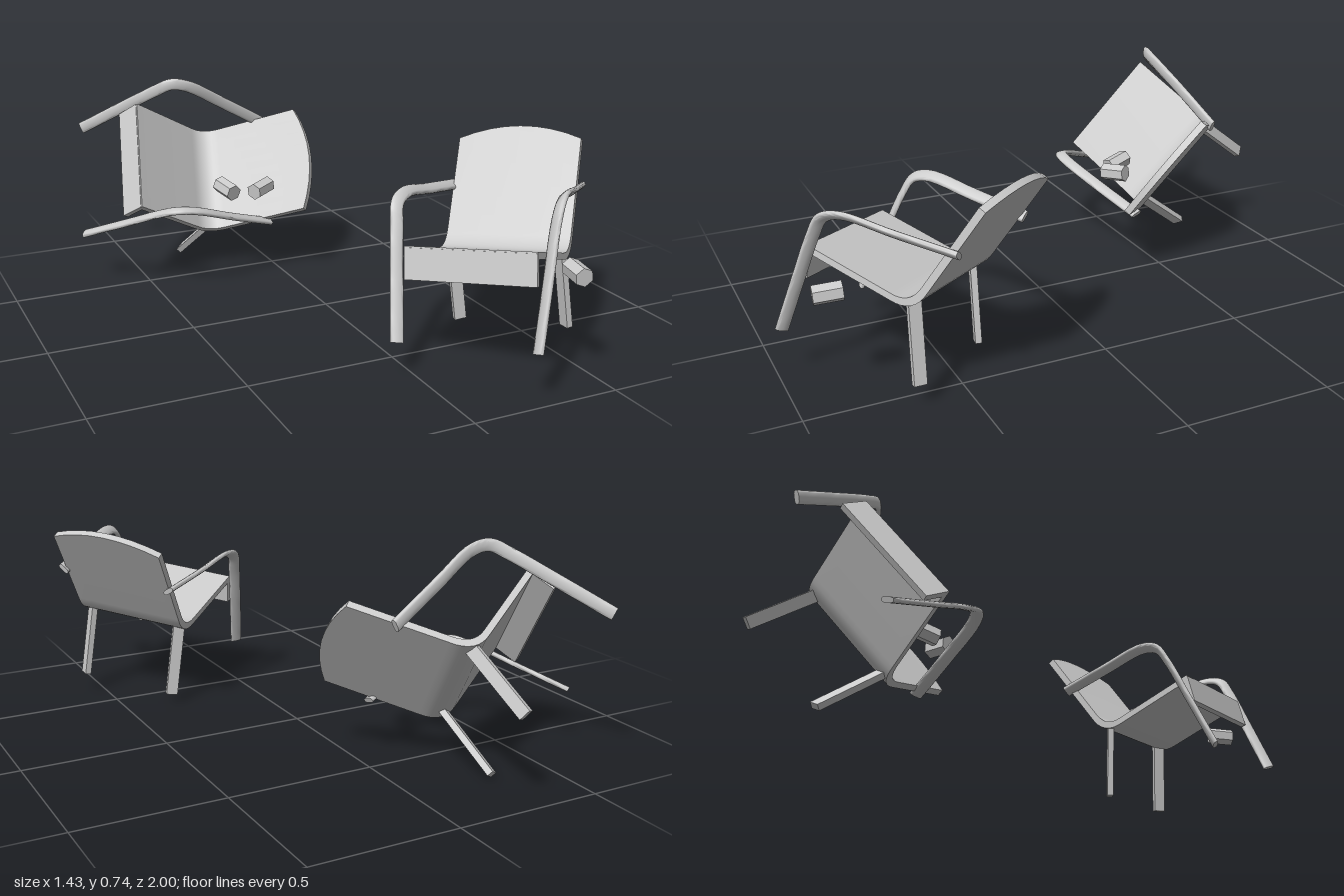
import * as THREE from 'three';
import { toCreasedNormals } from 'three/addons/utils/BufferGeometryUtils.js';

const mat = new THREE.MeshStandardMaterial({ color: 0xcccccc });
const V = (x, y, z) => new THREE.Vector3(x, y, z);

function named(name, geometry) {
  const mesh = new THREE.Mesh(geometry, mat);
  mesh.name = name;
  return mesh;
}

// Flat bar swept along a curve; its wide axis leans between outward and the outside of the bend
function sweepBar(curve, side, steps, section) {
  const pos = [], idx = [], n = section.length;
  for (let i = 0; i <= steps; i++) {
    const p = curve.getPoint(i / steps), t = curve.getTangent(i / steps);
    const out = V(side, 0, 0), outer = V(0, -t.z, t.y).normalize();
    const wide = out.clone().multiplyScalar(0.77).addScaledVector(outer, 0.61);
    const thin = out.clone().multiplyScalar(-0.61).addScaledVector(outer, 0.77);
    section.forEach(([a, b]) => {
      const q = p.clone().addScaledVector(wide, a).addScaledVector(thin, -b * side * side);
      pos.push(q.x, q.y, q.z);
    });
  }
  const tri = (a, b, c) => (side > 0 ? idx.push(a, b, c) : idx.push(a, c, b));
  for (let j = 0; j < n; j++) {
    const k = (j + 1) % n;
    for (let i = 0; i < steps; i++) {
      const a = i * n + j, b = i * n + k;
      tri(a, b, b + n);
      tri(a, b + n, a + n);
    }
    if (j > 0 && j < n - 1) {
      tri(0, k, j);
      tri(steps * n, steps * n + j, steps * n + k);
    }
  }
  const g = new THREE.BufferGeometry();
  g.setAttribute('position', new THREE.Float32BufferAttribute(pos, 3));
  g.setIndex(idx);
  return toCreasedNormals(g, 0.9);
}

// Rounded flat section for the arms, plain rectangle for the rear legs
const armSection = Array.from({ length: 12 }, (_, i) => {
  const a = (i / 12) * Math.PI * 2, soft = (v) => Math.sign(v) * Math.abs(v) ** 0.7;
  return [0.022 * soft(Math.cos(a)), 0.0095 * soft(Math.sin(a))];
});
const legSection = [[0.021, 0.011], [-0.021, 0.011], [-0.021, -0.011], [0.021, -0.011]];

// Bent seat and backrest in one sheet, with an arched top edge
function shellGeometry() {
  const half = 0.21, s = new THREE.Shape();
  s.moveTo(-0.205, 0.275);
  s.lineTo(0.1, 0.236);
  s.quadraticCurveTo(0.185, 0.222, 0.215, 0.305);
  s.lineTo(0.339, 0.604);
  s.lineTo(0.316, 0.612);
  s.lineTo(0.192, 0.312);
  s.quadraticCurveTo(0.165, 0.248, 0.1, 0.258);
  s.lineTo(-0.205, 0.297);
  const g = new THREE.ExtrudeGeometry(s, { depth: 2 * half, steps: 8, curveSegments: 8, bevelEnabled: false });
  g.translate(0, 0, -half);
  const p = g.attributes.position;
  for (let i = 0; i < p.count; i++) {
    if (p.getY(i) < 0.6) continue;
    const rise = 0.045 * (1 - (p.getZ(i) / half) ** 2);
    p.setXY(i, p.getX(i) + 0.38 * rise, p.getY(i) + 0.92 * rise);
  }
  g.rotateY(Math.PI / 2);
  return toCreasedNormals(g, 0.5);
}

function createChair(name, origin, up, forward) {
  const chair = new THREE.Group();
  chair.name = name;
  chair.add(named('seatAndBack', shellGeometry()));

  // Panel under the front edge of the seat
  const panel = named('frontPanel', new THREE.BoxGeometry(0.42, 0.1, 0.02));
  panel.position.set(0, 0.242, 0.197);
  chair.add(panel);

  for (const side of [1, -1]) {
    const label = side > 0 ? 'left' : 'right';
    // Front leg and armrest in one bent bar
    const arm = new THREE.CatmullRomCurve3([
      V(0.2215 * side, 0, 0.238), V(0.238 * side, 0.2, 0.198), V(0.25 * side, 0.36, 0.165),
      V(0.257 * side, 0.422, 0.142), V(0.255 * side, 0.451, 0.085),
      V(0.238 * side, 0.453, -0.09), V(0.214 * side, 0.455, -0.29),
    ]);
    chair.add(named(label + 'ArmAndFrontLeg', sweepBar(arm, side, 32, armSection)));
    const leg = new THREE.LineCurve3(V(0.184 * side, 0, -0.238), V(0.182 * side, 0.252, -0.163));
    chair.add(named(label + 'RearLeg', sweepBar(leg, side, 1, legSection)));
  }

  // Tilt the chair into place
  const x = up.clone().cross(forward).normalize();
  const z = forward.clone().normalize();
  const y = z.clone().cross(x);
  chair.quaternion.setFromRotationMatrix(new THREE.Matrix4().makeBasis(x, y, z));
  chair.position.copy(origin);
  return chair;
}

export function createModel() {
  const model = new THREE.Group();
  model.name = 'tumblingChairs';
  model.add(createChair('frontChair', V(0.263, 0.086, 0.664), V(0.081, 0.979, -0.197), V(-0.768, 0.187, 0.613)));
  model.add(createChair('rearChair', V(-0.464, 0.246, -0.8125), V(0.456, 0.492, 0.742), V(-0.873, 0.41, 0.265)));

  // Loose six-sided cylinders: centre and axis
  [
    [V(0.42, 0.345, 0.88), V(-0.015, -0.006, 0.1)],
    [V(-0.21, 0.337, -0.425), V(0.026, -0.018, 0.09)],
    [V(-0.1, 0.344, -0.355), V(0.083, 0.01, -0.052)],
  ].forEach(([centre, axis], i) => {
    const g = toCreasedNormals(new THREE.CylinderGeometry(0.031, 0.031, 0.09, 6), 0.5);
    const peg = named('looseCylinder' + (i + 1), g);
    peg.position.copy(centre);
    peg.quaternion.setFromUnitVectors(V(0, 1, 0), axis.normalize());
    model.add(peg);
  });
  return model;
}
